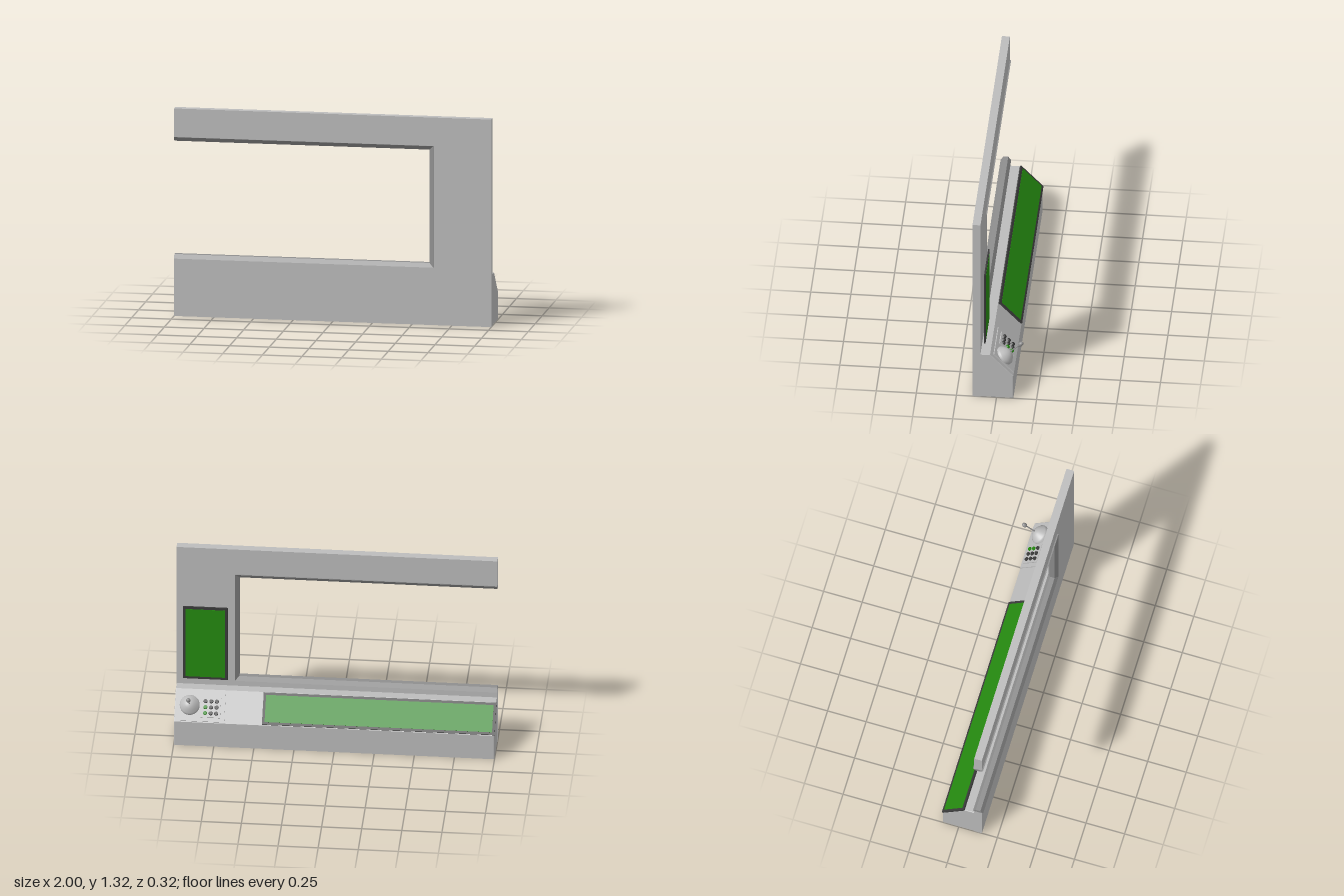
import * as THREE from 'three';

const mat = (name, color) => {
  const m = new THREE.MeshStandardMaterial({ color });
  m.name = name;
  return m;
};

export function createModel() {
  const root = new THREE.Group();
  root.name = 'controlStation';
  const grey = mat('lightGrey', 0xbcbcbc);
  const midGrey = mat('midGrey', 0x8e8e8e);
  const dark = mat('darkGrey', 0x3a3a3a);
  const green = mat('screenGreen', 0x258a10);

  const add = (parent, name, geo, material, x = 0, y = 0, z = 0) => {
    const m = new THREE.Mesh(geo, material);
    m.name = name;
    m.position.set(x, y, z);
    parent.add(m);
    return m;
  };
  const shapeOf = (pts) => new THREE.Shape(pts.map(([x, y]) => new THREE.Vector2(x, y)));

  // Wall with a window open at its right end
  const wall = new THREE.ExtrudeGeometry(
    shapeOf([[-1, 0], [1, 0], [1, 1.315], [-1, 1.315], [-1, 1.125], [0.625, 1.125], [0.625, 0.375], [-1, 0.375]]),
    { depth: 0.05, bevelEnabled: false });
  add(root, 'wall', wall, grey, 0, 0, 0.1);

  // Window trim: tapered section swept round three sides with mitred corners
  const section = [[0, 0.092], [0, 0.158], [0.026, 0.14], [0.026, 0.11]];
  const loops = [
    (d) => [-1, 1.135 - d], (d) => [0.635 - d, 1.135 - d],
    (d) => [0.635 - d, 0.365 + d], (d) => [-1, 0.365 + d],
  ].map((f) => section.map(([d, z]) => [...f(d), z]));
  const pos = [];
  const quad = (a, b, c, d) => pos.push(...a, ...b, ...c, ...a, ...c, ...d);
  for (let i = 0; i < 3; i++) {
    for (let j = 0; j < 4; j++) {
      const k = (j + 1) % 4;
      quad(loops[i][j], loops[i][k], loops[i + 1][k], loops[i + 1][j]);
    }
  }
  quad(...[...loops[0]].reverse());
  quad(...loops[3]);
  const trim = new THREE.BufferGeometry();
  trim.setAttribute('position', new THREE.Float32BufferAttribute(pos, 3));
  trim.computeVertexNormals();
  add(root, 'windowTrim', trim, midGrey);

  // Console body with fine bevelled edges, profile drawn in (-z, y)
  const b = 0.004;
  const body = new THREE.ExtrudeGeometry(
    shapeOf([[-0.13, 0], [0.105, 0], [0.105, 0.17], [-0.04, 0.325], [-0.13, 0.325]]),
    { depth: 1.998 - 2 * b, bevelThickness: b, bevelSize: b, bevelOffset: -b, bevelSegments: 2 });
  body.translate(0, 0, -(1.998 - 2 * b) / 2);
  body.rotateY(Math.PI / 2);
  add(root, 'consoleBody', body, grey);

  // Framed screen lying in local XZ, facing local +y
  const screen = (parent, name, w, h, x, y, z) => {
    const g = new THREE.Group();
    g.name = name;
    g.position.set(x, y, z);
    add(g, 'screenFrame', new THREE.BoxGeometry(w, 0.01, h), dark, 0, 0.005, 0);
    add(g, 'screenPanel', new THREE.BoxGeometry(w - 0.032, 0.002, h - 0.032), green, 0, 0.0105, 0);
    parent.add(g);
    return g;
  };

  const wallScreen = screen(root, 'wallScreen', 0.28, 0.52, 0.818, 0.64, 0.082);
  wallScreen.rotation.x = -Math.PI / 2;

  // Sloping desk: local y is the slope normal, local z runs up the slope
  const desk = new THREE.Group();
  desk.name = 'slopingDesk';
  desk.position.set(0, 0.2475, -0.0325);
  desk.rotation.x = -Math.atan2(0.155, 0.145);
  root.add(desk);
  screen(desk, 'deskScreen', 1.45, 0.205, -0.275, 0, 0);
  add(desk, 'controlPlate', new THREE.BoxGeometry(0.285, 0.008, 0.18), grey, 0.828, 0.004, -0.01);

  // Keypad with nine buttons
  add(desk, 'keypadPanel', new THREE.BoxGeometry(0.12, 0.01, 0.13), grey, 0.772, 0.012, -0.01);
  for (let c = 0; c < 3; c++) {
    for (let r = 0; r < 3; r++) {
      const lit = c === 2 && r < 2;
      add(desk, 'keypadButton', new THREE.CylinderGeometry(0.011, 0.013, 0.01, 16),
        lit ? green : dark, 0.772 + (c - 1) * 0.035, 0.021, -0.01 + (r - 1) * 0.038);
    }
  }

  // Joystick: stepped dome, shaft and knob
  const dome = [[0.062, 0], [0.062, 0.016], [0.056, 0.022], [0.046, 0.034], [0.03, 0.048], [0.014, 0.055], [0, 0.057]];
  add(desk, 'joystickBase',
    new THREE.LatheGeometry(dome.map(([x, y]) => new THREE.Vector2(x, y)), 32), grey, 0.905, 0.006, 0);
  add(desk, 'joystickShaft', new THREE.CylinderGeometry(0.004, 0.004, 0.09, 12), midGrey, 0.905, 0.1, 0);
  const knob = add(desk, 'joystickKnob', new THREE.SphereGeometry(0.014, 20, 14), midGrey, 0.905, 0.151, 0);
  knob.scale.y = 1.3;

  return root;
}
